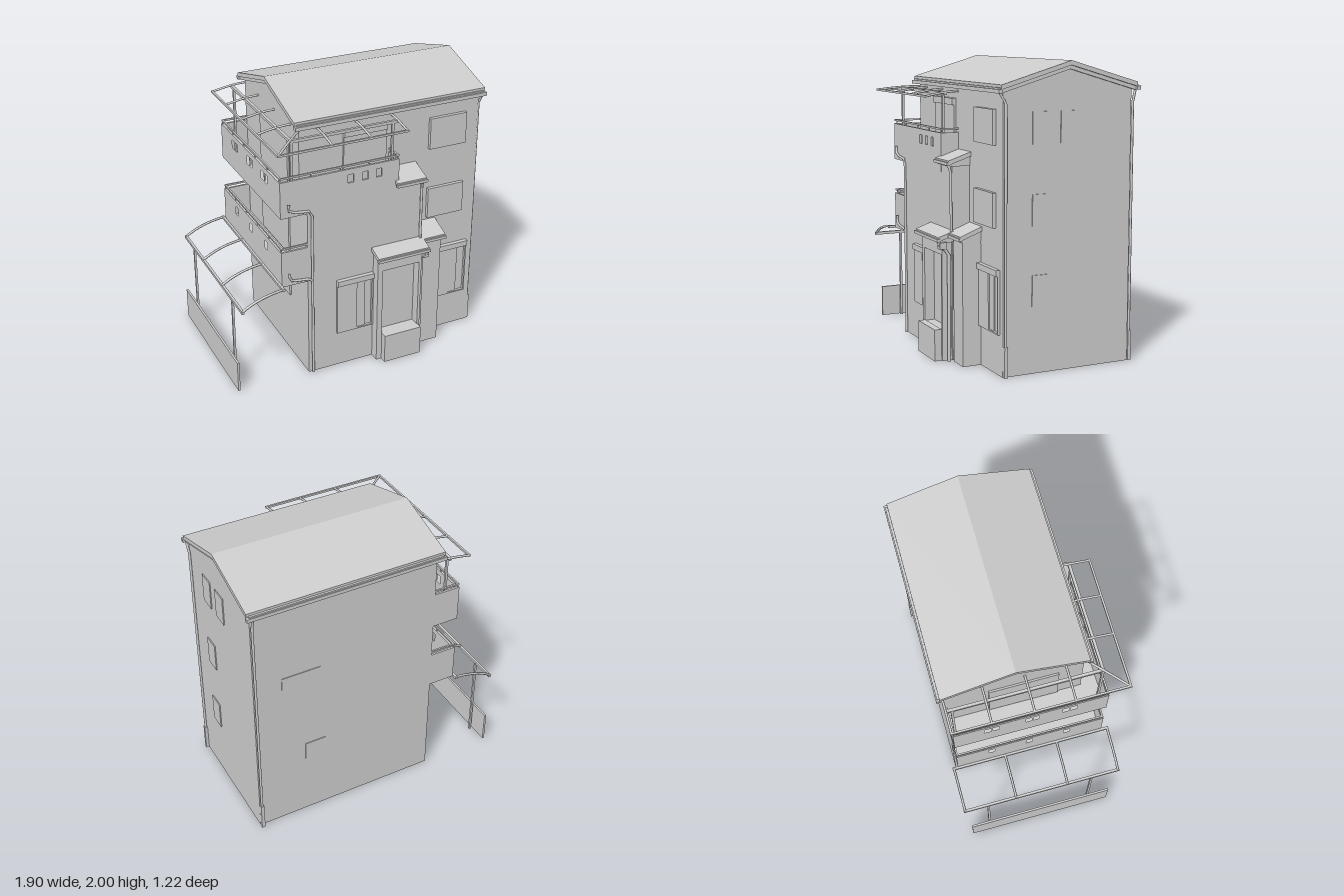
import * as THREE from 'three';

export function createModel() {
  const root = new THREE.Group();
  const mat = new THREE.MeshStandardMaterial({ color: 0xcccccc });

  const add = (name, geo) => {
    const m = new THREE.Mesh(geo, mat);
    m.name = name;
    root.add(m);
    return m;
  };
  const box = (name, x0, x1, y0, y1, z0, z1) => {
    const m = add(name, new THREE.BoxGeometry(x1 - x0, y1 - y0, z1 - z0));
    m.position.set((x0 + x1) / 2, (y0 + y1) / 2, (z0 + z1) / 2);
    return m;
  };
  // Flat outline in (u, v) with rectangular holes [u0, u1, v0, v1], extruded by d
  const sheet = (pts, d, holes = []) => {
    const s = new THREE.Shape(pts.map(p => new THREE.Vector2(...p)));
    for (const [a, b, c, e] of holes) {
      s.holes.push(new THREE.Path([[a, c], [a, e], [b, e], [b, c]].map(p => new THREE.Vector2(...p))));
    }
    return new THREE.ExtrudeGeometry(s, { depth: d, bevelEnabled: false });
  };
  const rect = (u0, u1, v0, v1) => [[u0, v0], [u1, v0], [u1, v1], [u0, v1]];
  // Outline in (z, y), extruded along x from x0 to x1
  const across = (name, pts, x0, x1, holes = []) => {
    const geo = sheet(pts.map(([z, y]) => [-z, y]), x1 - x0, holes.map(([a, b, c, e]) => [-b, -a, c, e]));
    const m = add(name, geo.rotateY(Math.PI / 2));
    m.position.x = x0;
    return m;
  };
  // Outline in (x, y), extruded along z from z0 to z1
  const along = (name, pts, z0, z1, holes = []) => {
    const m = add(name, sheet(pts, z1 - z0, holes));
    m.position.z = z0;
    return m;
  };
  // Round pipe through straight segments
  const pipe = (name, pts, r) => {
    const path = new THREE.CurvePath();
    const v = pts.map(p => new THREE.Vector3(...p));
    for (let i = 1; i < v.length; i++) path.add(new THREE.LineCurve3(v[i - 1], v[i]));
    return add(name, new THREE.TubeGeometry(path, (v.length - 1) * 6, r, 8));
  };

  // Main walls, open underneath
  const gable = [[-0.56, 0], [0.365, 0], [0.365, 1.82], [-0.1, 1.96], [-0.56, 1.82]];
  across('leftGableWall', gable, 0.9, 0.91);
  across('rightGableWall', gable, -0.43, -0.42);
  box('backWall', -0.43, 0.91, 0, 1.83, -0.56, -0.55);
  box('frontWallUpper', -0.43, 0.41, 1.27, 1.83, 0.355, 0.365);
  box('frontWallSide', 0.41, 0.91, 0, 1.83, 0.355, 0.365);

  // Projecting front block
  box('frontBlockWall', -0.43, 0.41, 0, 1.27, 0.48, 0.49);
  box('frontBlockRightWall', -0.43, -0.42, 0, 1.27, 0.36, 0.49);
  box('frontBlockLeftWall', 0.40, 0.41, 0, 1.34, 0.36, 0.49);
  box('stairBlock', 0.24, 0.41, 1.25, 1.35, 0.36, 0.49);

  // Main gable roof, its bargeboards and eaves gutters
  const roofLine = t => [[0.39, 1.857 - t], [0.39, 1.857], [-0.1, 2], [-0.59, 1.857], [-0.59, 1.857 - t], [-0.1, 2 - t]];
  across('roof', roofLine(0.03), -0.47, 0.94);
  across('bargeboard', roofLine(0.055), -0.455, -0.43);
  across('bargeboard', roofLine(0.055), 0.91, 0.925);
  for (const [z0, z1] of [[0.365, 0.4], [-0.605, -0.56]]) {
    box('eaveSoffit', -0.455, 0.925, 1.815, 1.84, z0, z1);
    box('gutter', -0.47, 0.945, 1.805, 1.83, z0 > 0 ? 0.385 : -0.612, z0 > 0 ? 0.412 : -0.585);
  }

  // Lean-to roofs with gutters
  const leanTo = (x0, x1, zb, zf, yb, yf) => {
    across('leanToRoof', [[zb, yf - 0.04], [zf, yf - 0.04], [zf, yf], [zb, yb]], x0 + 0.015, x1 - 0.015);
    across('leanToTiles', [[zb, yb - 0.03], [zf + 0.01, yf - 0.03], [zf + 0.01, yf], [zb, yb]], x0, x1);
    box('leanToGutter', x0 - 0.005, x1 + 0.005, yf - 0.03, yf - 0.01, zf, zf + 0.022);
  };
  leanTo(0.215, 0.435, 0.36, 0.515, 1.4, 1.345);
  leanTo(0.4, 0.605, 0.36, 0.51, 0.93, 0.87);
  leanTo(0.045, 0.435, 0.48, 0.59, 0.885, 0.845);

  // Entrance porch: recessed opening, step box and side column
  along('porchFrame', rect(0.06, 0.4, 0, 0.82), 0.48, 0.56, [[0.1, 0.38, 0.21, 0.72]]);
  box('porchStep', 0.1, 0.385, 0, 0.215, 0.56, 0.61);
  box('porchColumn', 0.44, 0.585, 0, 0.85, 0.36, 0.495);

  // Balconies: floor, pierced parapets, handrails
  const side = [[-0.35, -0.305, 0], [-0.295, -0.25, 0], [-0.07, -0.03, 0], [-0.02, 0.02, 0], [0.18, 0.225, 0], [0.235, 0.28, 0]];
  const balcony = (y0, y1, xEnd, sideHoles, frontHoles) => {
    box('balconyFloor', -0.62, -0.42, y0, y0 + 0.04, -0.56, 0.49);
    across('balconySideParapet', rect(-0.56, 0.49, y0, y1), -0.62, -0.605, sideHoles);
    box('balconyBackParapet', -0.62, -0.43, y0, y1, -0.56, -0.545);
    along('balconyFrontParapet', rect(-0.62, xEnd, y0, y1), 0.478, 0.493, frontHoles);
    box('handrail', -0.618, -0.606, y1 + 0.018, y1 + 0.03, -0.555, 0.49);
    box('handrail', -0.618, xEnd, y1 + 0.018, y1 + 0.03, 0.479, 0.491);
    box('handrail', -0.618, -0.43, y1 + 0.018, y1 + 0.03, -0.558, -0.546);
    for (let i = 0; i < 6; i++) {
      const z = -0.55 + i * 0.205;
      box('railPost', -0.616, -0.608, y1, y1 + 0.02, z - 0.004, z + 0.004);
    }
    for (let x = -0.4; x <= xEnd; x += 0.21) box('railPost', x - 0.004, x + 0.004, y1, y1 + 0.02, 0.481, 0.489);
  };
  balcony(0.74, 1.0, -0.43, [-0.31, -0.04, 0.23].map(z => [z - 0.022, z + 0.022, 0.9, 0.96]), []);
  balcony(1.25, 1.51, 0.24, side.map(([a, b]) => [a, b, 1.41, 1.47]),
    [-0.116, -0.01, 0.09].map(x => [x - 0.021, x + 0.021, 1.41, 1.47]));
  box('terraceFloor', -0.43, 0.24, 1.25, 1.29, 0.36, 0.49);
  box('terraceEndParapet', 0.225, 0.24, 1.25, 1.51, 0.36, 0.49);
  box('terraceEndRail', 0.226, 0.238, 1.528, 1.54, 0.36, 0.49);

  // Upper canopy frame, wrapping round the corner
  const arc = t => 1.755 + 0.03 * Math.sin(t * Math.PI / 2);
  const arm = (xa, za, xb, zb) => {
    const pts = [];
    for (let i = 0; i <= 4; i++) pts.push([xa + (xb - xa) * i / 4, arc(i / 4), za + (zb - za) * i / 4]);
    pipe('canopyArm', pts, 0.008);
  };
  for (const z of [-0.57, -0.31, -0.03, 0.24]) arm(-0.67, z, -0.43, z);
  for (const x of [-0.3, -0.025, 0.235]) arm(x, 0.6, x, 0.365);
  arm(-0.67, 0.6, -0.43, 0.365);
  box('canopyEdge', -0.677, -0.663, 1.748, 1.762, -0.578, 0.605);
  box('canopyEdge', -0.677, 0.243, 1.748, 1.762, 0.593, 0.607);
  box('canopyBeam', -0.535, -0.515, 1.76, 1.78, -0.57, 0.47);
  box('canopyBeam', -0.535, 0.243, 1.76, 1.78, 0.45, 0.47);
  for (const [x, z] of [[-0.525, 0.46], [0.2, 0.46], [-0.525, -0.53]]) {
    box('canopyPost', x - 0.008, x + 0.008, 1.28, 1.765, z - 0.008, z + 0.008);
  }

  // Carport frame with curved ribs
  const curve = new THREE.QuadraticBezierCurve3(
    new THREE.Vector3(-0.92, 0.655, 0), new THREE.Vector3(-0.8, 0.735, 0), new THREE.Vector3(-0.62, 0.75, 0));
  for (const z of [-0.59, -0.217, 0.16, 0.535]) {
    add('carportRib', new THREE.TubeGeometry(curve, 12, 0.009, 6)).position.z = z;
  }
  box('carportEdge', -0.928, -0.91, 0.64, 0.66, -0.6, 0.545);
  box('carportEdge', -0.636, -0.618, 0.738, 0.756, -0.6, 0.545);
  for (const z of [-0.42, 0.34]) box('carportPost', -0.924, -0.909, 0, 0.65, z - 0.008, z + 0.008);
  box('boundaryFence', -0.955, -0.94, 0, 0.225, -0.56, 0.485);

  // Front windows: large shuttered pair below, smaller ones above
  const bayWindow = (x0, x1, z) => {
    along('windowFrame', rect(x0, x1, 0.27, 0.69), z, z + 0.018, [[x0 + 0.15, x1 - 0.01, 0.28, 0.645]]);
    box('windowHood', x0, x1, 0.65, 0.69, z, z + 0.03);
    box('windowPane', x0 + 0.15, x0 + 0.215, 0.28, 0.645, z, z + 0.01);
  };
  bayWindow(-0.22, 0.055, 0.49);
  bayWindow(0.585, 0.87, 0.365);
  for (const y of [0.95, 1.475]) box('shutterWindow', 0.53, 0.81, y, y + 0.225, 0.365, 0.39);
  box('terraceDoor', -0.115, 0.2, 1.29, 1.69, 0.365, 0.38);
  box('terraceDoorHood', -0.115, 0.2, 1.69, 1.735, 0.365, 0.395);

  // Windows on the remaining sides
  for (const [z, y] of [[0.1, 1.48], [-0.1, 1.48], [0.1, 0.96], [0.1, 0.44]]) {
    box('leftSideWindow', 0.91, 0.917, y, y + 0.205, z - 0.06, z + 0.06);
  }
  for (const [y0, y1] of [[0.47, 0.64], [0.8, 1.23], [1.3, 1.66]]) {
    box('rightSideWindow', -0.442, -0.43, y0, y1, -0.27, 0.2);
  }
  box('backWindow', 0.43, 0.71, 1.13, 1.24, -0.565, -0.56);
  box('backWindow', 0.4, 0.55, 0.47, 0.61, -0.565, -0.56);

  // Downpipes and balcony drains
  for (const z of [0.35, -0.578]) {
    const x = z > 0 ? 0.92 : 0.9;
    pipe('downpipe', [[x, 1.82, z > 0 ? 0.4 : -0.6], [x, 1.77, z], [x, 0.2, z], [x, 0, z]], 0.009);
    box('pipeGuard', x - 0.012, x + 0.012, 0, 0.2, z - 0.012, z + 0.012);
  }
  pipe('stairDownpipe', [[0.405, 1.33, 0.53], [0.415, 1.28, 0.5], [0.415, 0.86, 0.5]], 0.009);
  pipe('porchDownpipe', [[0.42, 0.83, 0.6], [0.42, 0.78, 0.58], [0.42, 0.74, 0.52], [0.42, 0, 0.52]], 0.012);
  box('pipeHopper', 0.4, 0.44, 0.765, 0.81, 0.54, 0.59);
  for (const y of [1.27, 0.76]) {
    pipe('balconyDrain', [[-0.565, y + 0.08, 0.5], [-0.565, y + 0.035, 0.5], [-0.545, y + 0.015, 0.5],
      [-0.42, y, 0.5], [-0.4, y - 0.02, 0.5], [-0.4, 0, 0.5]], 0.009);
  }
  return root;
}
